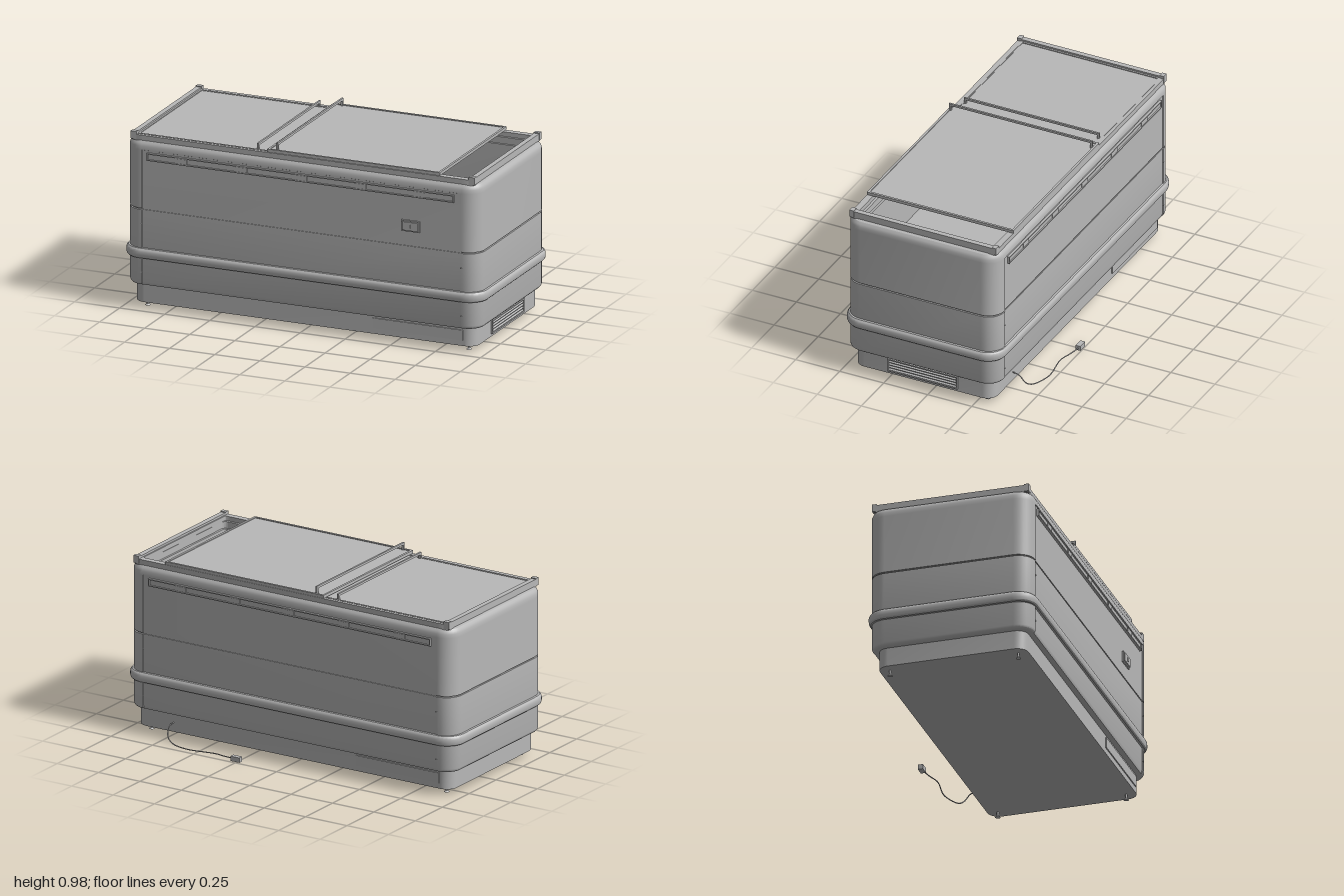
import * as THREE from 'three';
import { toCreasedNormals } from 'three/addons/utils/BufferGeometryUtils.js';

const ZC = 0.0525; // the cabinet sits slightly forward, leaving room for the cord

// Rounded rectangle in x/z; the front and back faces may be recessed between corner posts
function outline(hx, hz, r, inset, recess) {
  const a = hx - inset, b = hz - inset, c = Math.max(r - inset, 0.012), pts = [];
  const corners = [[1, 1], [-1, 1], [-1, -1], [1, -1]];
  corners.forEach(([sx, sz], k) => {
    for (let i = 0; i <= 8; i++) {
      const t = (k + i / 8) * Math.PI / 2;
      pts.push([sx * (a - c) + c * Math.cos(t), sz * (b - c) + c * Math.sin(t)]);
    }
    if (k % 2 === 0) {
      const e = Math.min(0.885, a - c - 0.004);
      pts.push([sx * e, sz * b], [sx * (e - 0.002), sz * (b - recess)],
        [-sx * (e - 0.002), sz * (b - recess)], [-sx * e, sz * b]);
    }
  });
  return pts;
}

// Skin stacked outlines; each level is [y, inset, recess]
function loft(hx, hz, r, levels, capped = true) {
  const pos = [], idx = [];
  let n = 0;
  for (const [y, inset, recess = 0] of levels) {
    const ring = outline(hx, hz, r, inset, recess);
    n = ring.length;
    ring.forEach(([x, z]) => pos.push(x, y, z + ZC));
  }
  for (let i = 0; i < levels.length - 1; i++) {
    for (let j = 0; j < n; j++) {
      const a = i * n + j, b = i * n + (j + 1) % n;
      idx.push(a, a + n, b, b, a + n, b + n);
    }
  }
  if (capped) {
    const last = levels.length - 1, c = pos.length / 3;
    pos.push(0, levels[0][0], ZC, 0, levels[last][0], ZC);
    for (let j = 0; j < n; j++) {
      const k = (j + 1) % n;
      idx.push(c, j, k, c + 1, last * n + k, last * n + j);
    }
  }
  const g = new THREE.BufferGeometry();
  g.setAttribute('position', new THREE.Float32BufferAttribute(pos, 3));
  g.setIndex(idx);
  return toCreasedNormals(g, 0.5);
}

export function createModel() {
  const model = new THREE.Group();
  model.name = 'chestFreezer';
  const grey = new THREE.MeshStandardMaterial({ color: 0xb8b8b8 });
  grey.name = 'grey';

  const add = (name, geo, x = 0, y = 0, z = 0, parent = model) => {
    const m = new THREE.Mesh(geo, grey);
    m.name = name;
    m.position.set(x, y, z);
    parent.add(m);
    return m;
  };
  // Box given by its limits on each axis
  const box = (name, x0, x1, y0, y1, z0, z1, parent) =>
    add(name, new THREE.BoxGeometry(x1 - x0, y1 - y0, z1 - z0),
      (x0 + x1) / 2, (y0 + y1) / 2, (z0 + z1) / 2, parent);
  const group = (name) => {
    const g = new THREE.Group();
    g.name = name;
    model.add(g);
    return g;
  };

  // Cabinet shell, seam groove, rounded rim and stepped inner tank
  const R = 0.005;
  add('cabinet', loft(0.98, 0.4325, 0.09, [
    [0.13, 0.02, 0], [0.133, 0.01, 0], [0.14, 0.003, R], [0.15, 0, R],
    [0.534, 0, R], [0.534, 0.009, 0], [0.541, 0.009, 0], [0.541, 0, R],
    [0.85, 0, R], [0.852, 0, 0], [0.872, 0, 0], [0.886, 0.005], [0.896, 0.014], [0.9, 0.028],
    [0.9, 0.065], [0.865, 0.065], [0.865, 0.076], [0.6, 0.076],
  ]));

  // Bumper running round the cabinet
  add('bumper', loft(1, 0.4475, 0.105, [
    [0.275, 0.022], [0.277, 0.01], [0.284, 0.003], [0.295, 0],
    [0.312, 0], [0.322, 0.003], [0.329, 0.01], [0.331, 0.022],
  ], false));

  // Plinth and feet
  add('plinth', loft(0.947, 0.395, 0.06, [[0.03, 0], [0.135, 0]]));
  for (const x of [-0.89, 0.89]) {
    for (const z of [-0.288, 0.395]) {
      add('footStem', new THREE.CylinderGeometry(0.006, 0.006, 0.03, 12), x, 0.02, z);
      add('footPad', new THREE.CylinderGeometry(0.007, 0.014, 0.008, 16), x, 0.004, z);
    }
  }

  // Top frame with raised end rails
  add('topFrame', loft(0.95, 0.415, 0.02, [
    [0.895, 0], [0.924, 0], [0.924, 0.034], [0.895, 0.034],
  ], false));
  for (const s of [-1, 1]) {
    box('endRail', s * 0.937 - 0.014, s * 0.937 + 0.014, 0.9, 0.935, -0.345, 0.45);
    for (const z of [-0.352, 0.457])
      box('cornerCap', s * 0.937 - 0.016, s * 0.937 + 0.016, 0.9, 0.94, z - 0.012, z + 0.012);
  }

  // Sliding lids, each a pane inside a slim raised border
  const lid = (name, x0, x1, y0, y1, z0, z1) => {
    const g = group(name), w = 0.012;
    box('pane', x0, x1, y0, y1 - 0.004, z0, z1, g);
    for (const z of [z0, z1 - w]) box('sideBorder', x0, x1, y0, y1, z, z + w, g);
    for (const x of [x0, x1 - w]) box('endBorder', x, x + w, y0, y1, z0 + w, z1 - w, g);
  };
  lid('lowerLid', -0.925, -0.15, 0.902, 0.926, -0.345, 0.45);
  lid('upperLid', -0.197, 0.76, 0.926, 0.942, -0.365, 0.467);

  // Lid handles, a bar on two end posts
  const handle = (name, x, y0, y1, z0, z1) => {
    const g = group(name), w = 0.005;
    box('bar', x - w, x + w, y1 - 0.012, y1, z0, z1, g);
    for (const z of [z0, z1 - 0.012]) box('post', x - w, x + w, y0, y1 - 0.012, z, z + 0.012, g);
  };
  handle('lowerHandle', -0.263, 0.92, 0.955, -0.335, 0.435);
  handle('upperHandle', -0.145, 0.938, 0.978, -0.355, 0.46);

  // Tubs in the open end
  const tubProfile = [[0, 0], [0.058, 0], [0.064, 0.18], [0.07, 0.18], [0.07, 0.2], [0, 0.2]]
    .map(([x, y]) => new THREE.Vector2(x, y));
  for (const z of [-0.2, -0.036, 0.13, 0.32])
    add('tub', toCreasedNormals(new THREE.LatheGeometry(tubProfile, 32), 0.5), 0.833, 0.6, z);

  // Label rails on front and back, with clips
  for (const s of [-1, 1]) {
    const g = group(s > 0 ? 'frontLabelRail' : 'backLabelRail');
    g.position.z = ZC + s * 0.4275;
    const d = 0.013;
    box('railPlate', -0.855, 0.848, 0.8, 0.84, -0.006, 0.006, g);
    for (const y of [0.8, 0.834]) box('railLip', -0.855, 0.848, y, y + 0.006, -d, d, g);
    for (const x of [-0.855, 0.842]) box('railEnd', x, x + 0.006, 0.8, 0.84, -d, d, g);
    for (const x of [-0.665, -0.33, 0, 0.33, 0.655])
      box('clip', x - 0.032, x + 0.032, 0.803, 0.832, -0.01, 0.01, g);
    // Grille plates on the plinth and small screws on the corner posts
    const zp = ZC + s * 0.397;
    box('plinthPlate', s * 0.63 - 0.25, s * 0.63 + 0.25, 0.06, 0.115, zp - 0.004, zp + 0.004);
    for (const x of [-0.886, 0.886]) {
      for (const y of [0.2, 0.455])
        add('screw', new THREE.CylinderGeometry(0.004, 0.004, 0.006, 10), x, y, ZC + s * 0.432)
          .rotation.x = Math.PI / 2;
    }
  }

  // Lock box on the front
  box('lockPlate', 0.555, 0.656, 0.613, 0.672, 0.47, 0.488);
  box('lockFace', 0.562, 0.649, 0.62, 0.665, 0.47, 0.495);
  box('keySlot', 0.601, 0.609, 0.633, 0.652, 0.49, 0.498);

  // Louvred vent on the right end of the plinth
  const vent = group('vent');
  for (const y of [0.045, 0.112]) box('ventFrame', 0.94, 0.957, y, y + 0.007, -0.145, 0.252, vent);
  for (const z of [-0.145, 0.245]) box('ventFrame', 0.94, 0.957, 0.045, 0.119, z, z + 0.007, vent);
  for (let i = 0; i < 4; i++) {
    const slat = box('ventSlat', 0.94, 0.956, 0.056 + i * 0.015, 0.06 + i * 0.015, -0.138, 0.245, vent);
    slat.rotation.z = -0.5;
  }

  // Power cord and plug
  const path = new THREE.CatmullRomCurve3([
    [0.725, 0.08, -0.335], [0.725, 0.07, -0.38], [0.715, 0.03, -0.41], [0.68, 0.006, -0.43],
    [0.57, 0.004, -0.468], [0.4, 0.006, -0.452], [0.33, 0.012, -0.475], [0.27, 0.016, -0.488],
  ].map((p) => new THREE.Vector3(...p)));
  add('cord', new THREE.TubeGeometry(path, 48, 0.003, 8));
  box('plug', 0.225, 0.278, 0.004, 0.03, -0.5, -0.473);

  return model;
}
